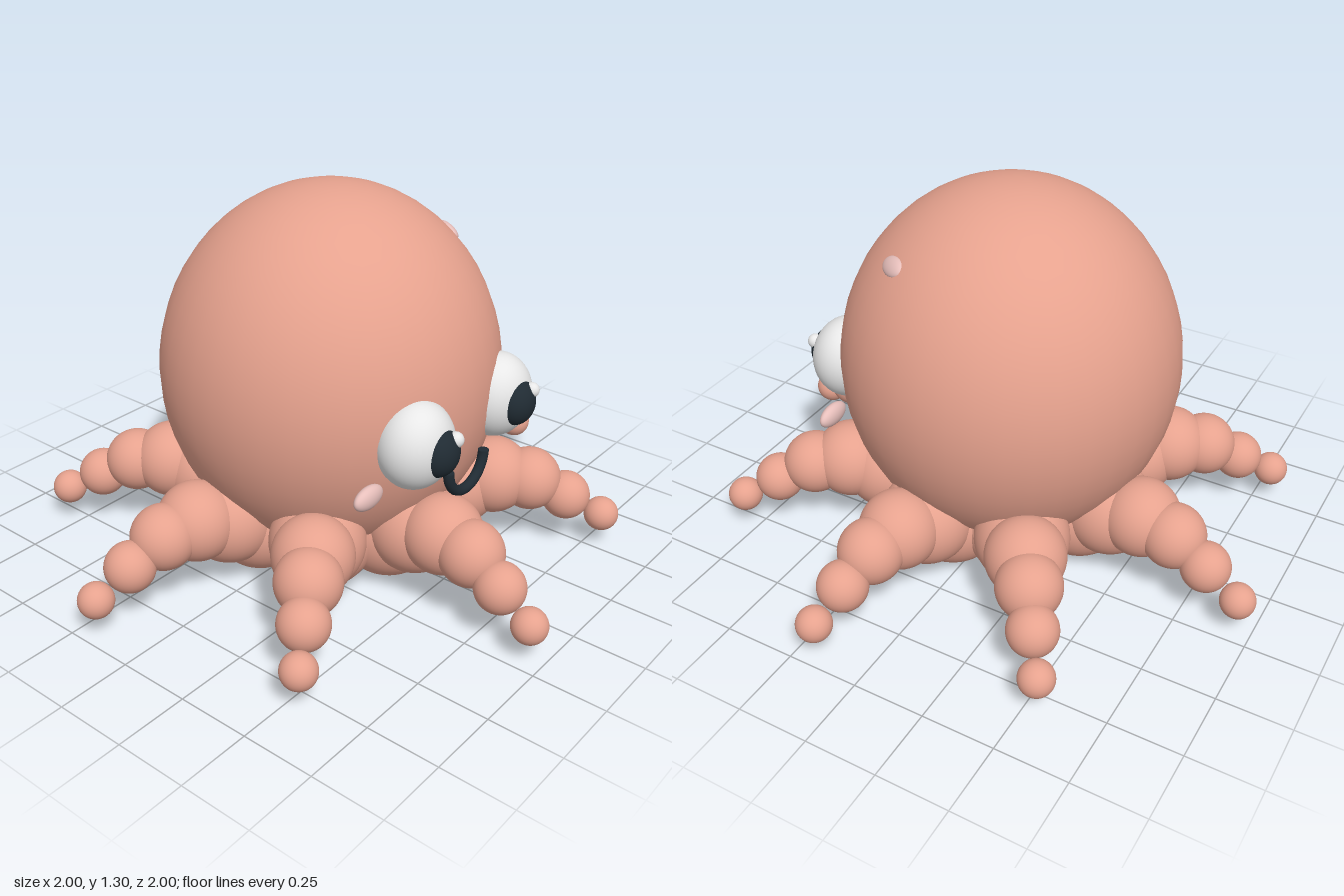
import * as THREE from 'three';

const paint = (name, color) => {
  const m = new THREE.MeshStandardMaterial({ color });
  m.name = name;
  return m;
};

export function createModel() {
  const skin = paint('coral skin', 0xe6a28e);
  const white = paint('eye white', 0xf0f0f0);
  const dark = paint('dark slate', 0x202b33);
  const blush = paint('pale pink', 0xe8c0bc);

  const model = new THREE.Group();
  model.name = 'octopus';

  const sphere = new THREE.SphereGeometry(1, 40, 28);
  const ellipsoid = (parent, name, material, pos, radii) => {
    const mesh = new THREE.Mesh(sphere, material);
    mesh.name = name;
    mesh.position.set(...pos);
    mesh.scale.set(...radii);
    parent.add(mesh);
    return mesh;
  };

  // Head
  ellipsoid(model, 'head', skin, [0, 0.67, 0], [0.58, 0.635, 0.58]);

  // Eight tentacles of shrinking beads: [distance from centre, height, radius]
  const beads = [
    [0.31, 0.187, 0.185], [0.44, 0.235, 0.16], [0.57, 0.265, 0.135],
    [0.70, 0.255, 0.11], [0.83, 0.195, 0.085], [0.96, 0.125, 0.06],
  ];
  for (let i = 0; i < 8; i++) {
    const tentacle = new THREE.Group();
    tentacle.name = 'tentacle';
    tentacle.rotation.y = -Math.PI / 16 - (i * Math.PI) / 4;
    for (const [d, y, r] of beads) ellipsoid(tentacle, 'tentacleBead', skin, [d, y, 0], [r, r, r]);
    model.add(tentacle);
  }

  // Eyes and cheeks; both glints sit on the same side of the pupils
  for (const [side, s] of [['left', 1], ['right', -1]]) {
    ellipsoid(model, side + 'Eye', white, [0.225 * s, 0.63, 0.52], [0.135, 0.145, 0.12]);
    ellipsoid(model, side + 'Pupil', dark, [0.22 * s, 0.627, 0.602], [0.075, 0.08, 0.065]);
    ellipsoid(model, side + 'EyeGlint', white, [0.22 * s + 0.035, 0.668, 0.64], [0.026, 0.026, 0.026]);
    ellipsoid(model, side + 'Cheek', blush, [0.4 * s, 0.502, 0.475], [0.065, 0.038, 0.026]);
  }

  // Smile: lower half of a ring, with flat ends
  const smile = new THREE.Group();
  smile.name = 'smile';
  smile.position.set(0, 0.487, 0.565);
  const arc = new THREE.Mesh(new THREE.TorusGeometry(0.1, 0.018, 14, 32, Math.PI), dark);
  arc.name = 'smileArc';
  arc.rotation.z = Math.PI;
  smile.add(arc);
  for (const s of [1, -1]) {
    const cap = new THREE.Mesh(new THREE.CircleGeometry(0.018, 14), dark);
    cap.name = 'smileEnd';
    cap.position.x = 0.1 * s;
    cap.rotation.x = -Math.PI / 2;
    smile.add(cap);
  }
  model.add(smile);

  // Shiny spot lying flat on the head
  const spot = ellipsoid(model, 'headSpot', blush, [0.34, 1.107, 0.232], [0.056, 0.018, 0.034]);
  const normal = new THREE.Vector3(0.615, 0.67, 0.414).normalize();
  const across = new THREE.Vector3().crossVectors(new THREE.Vector3(0.5, 0.07, -0.85), normal).normalize();
  const along = new THREE.Vector3().crossVectors(normal, across);
  spot.quaternion.setFromRotationMatrix(new THREE.Matrix4().makeBasis(along, normal, across));

  return model;
}
